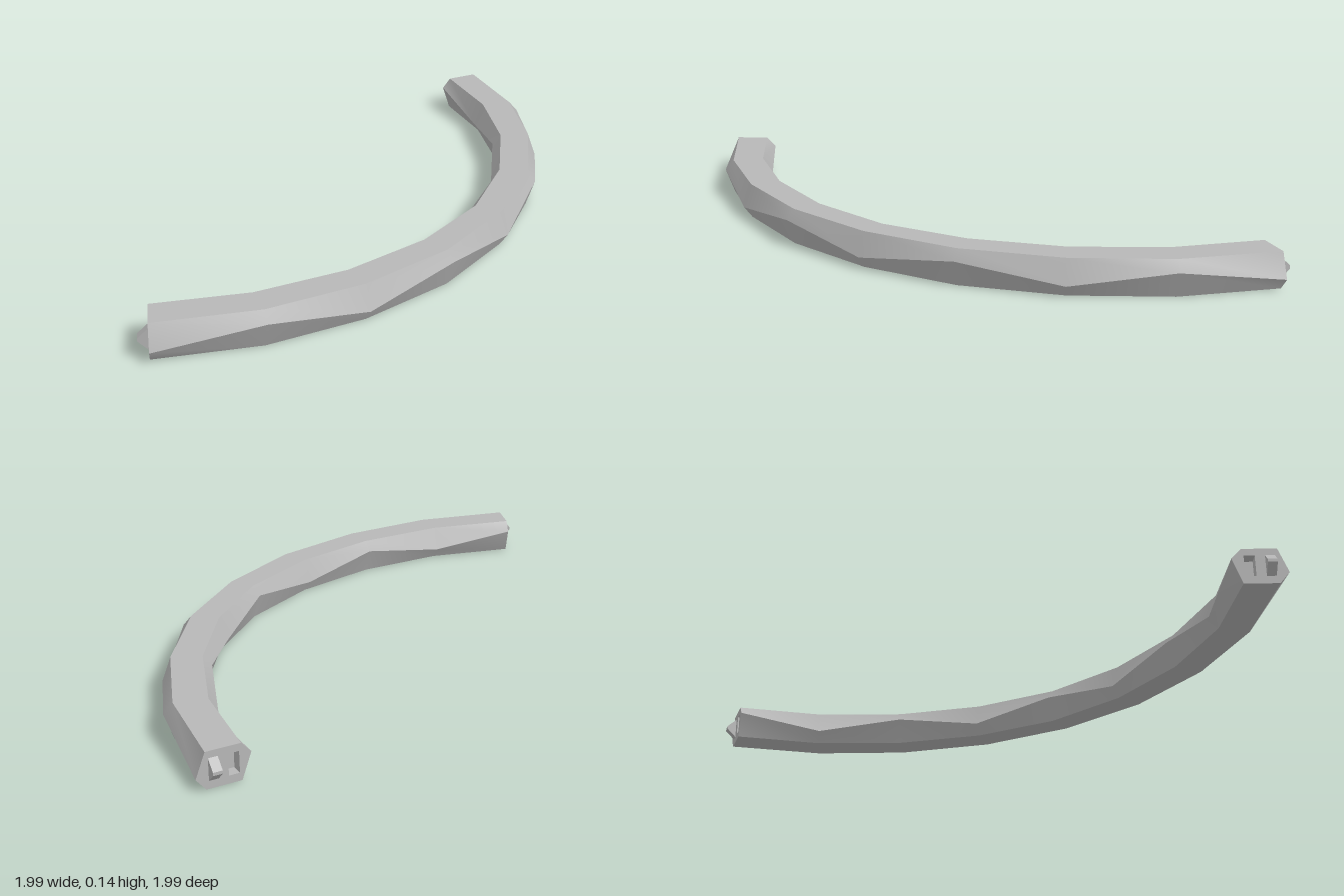
import * as THREE from 'three';

const HEIGHT = 0.14, BEVEL = 0.18, LOW = 0.045, HIGH = 0.1;

// Plan points [outerX, outerZ, innerX, innerZ] for half of the arc; the rest is mirrored
const half = [
  [-0.965, 0.975, -0.93, 0.775],
  [-0.565, 0.997, -0.58, 0.8],
  [-0.18, 0.922, -0.225, 0.74],
  [0.19, 0.757, 0.105, 0.6],
  [0.507, 0.507, 0.388, 0.388],
];
const mirrored = half.slice(0, 4).reverse().map(([a, b, c, d]) => [b, a, d, c]);
const plan = [...half, ...mirrored];

// Six-sided ring, given as [position from inner (0) to outer (1), height]
function ringProfile(i) {
  const outerY = i % 2 ? HIGH : LOW, innerY = i % 2 ? LOW : HIGH;
  return [[BEVEL, 0], [1 - BEVEL, 0], [1, outerY], [1 - BEVEL, HEIGHT], [BEVEL, HEIGHT], [0, innerY]];
}

// One long face of the rail: smooth lengthwise, sharp at its borders
function sideGeometry(k) {
  const positions = [], index = [];
  plan.forEach(([ox, oz, ix, iz], i) => {
    const ring = ringProfile(i);
    for (const [t, y] of [ring[k], ring[(k + 1) % 6]]) {
      positions.push(ix + (ox - ix) * t, y, iz + (oz - iz) * t);
    }
    if (i) {
      const a = 2 * i - 2, b = a + 1, a2 = a + 2, b2 = a + 3;
      index.push(b, a, a2, b, a2, b2);
    }
  });
  const g = new THREE.BufferGeometry();
  g.setAttribute('position', new THREE.Float32BufferAttribute(positions, 3));
  g.setIndex(index);
  g.computeVertexNormals();
  return g;
}

// End plate with a socket and a wedge peg; side = 1 puts the outer rim on local +x
function makeEnd(i, side, material) {
  const [ox, oz, ix, iz] = plan[i];
  const width = Math.hypot(ox - ix, oz - iz);
  const end = new THREE.Group();
  const add = (name, geometry) => {
    const mesh = new THREE.Mesh(geometry, material);
    mesh.name = name;
    end.add(mesh);
    return mesh;
  };

  const outline = ringProfile(i).map(([t, y]) => new THREE.Vector2(side * (t - 0.5) * width, y));
  const shape = new THREE.Shape(outline);
  const hx = -side * 0.037, hw = 0.02, y0 = 0.03, y1 = 0.112, depth = 0.045;
  shape.holes.push(new THREE.Path([
    new THREE.Vector2(hx - hw, y0), new THREE.Vector2(hx - hw, y1),
    new THREE.Vector2(hx + hw, y1), new THREE.Vector2(hx + hw, y0),
  ]));
  add('endPlate', new THREE.ShapeGeometry(shape));

  // Socket walls face inwards
  const socket = new THREE.BoxGeometry(hw * 2, y1 - y0, depth);
  const idx = socket.index.array;
  for (let n = 0; n < idx.length; n += 3) [idx[n], idx[n + 1]] = [idx[n + 1], idx[n]];
  const normals = socket.attributes.normal.array;
  for (let n = 0; n < normals.length; n++) normals[n] *= -1;
  add('socket', socket).position.set(hx, (y0 + y1) / 2, -depth / 2);

  // Peg profile lies in the outward/up plane, extruded across the rail
  const wedge = new THREE.Shape([
    new THREE.Vector2(0, 0.03), new THREE.Vector2(0.038, 0.066),
    new THREE.Vector2(0.038, 0.078), new THREE.Vector2(0, 0.114),
  ]);
  const peg = new THREE.ExtrudeGeometry(wedge, { depth: 0.035, bevelEnabled: false });
  peg.translate(0, 0, -0.0175).rotateY(-Math.PI / 2);
  add('peg', peg).position.x = side * 0.037;

  // Local x runs along the plate, local z points out of the rail
  const dx = side * (ox - ix) / width, dz = side * (oz - iz) / width;
  end.position.set((ox + ix) / 2, 0, (oz + iz) / 2);
  end.rotation.y = Math.atan2(-dz, dx);
  return end;
}

export function createModel() {
  const group = new THREE.Group();
  group.name = 'curvedRail';
  const grey = new THREE.MeshStandardMaterial({ color: 0xb8b8b8 });
  grey.name = 'grey';

  const names = ['bottom', 'outerLower', 'outerUpper', 'top', 'innerUpper', 'innerLower'];
  names.forEach((name, k) => {
    const mesh = new THREE.Mesh(sideGeometry(k), grey);
    mesh.name = name;
    group.add(mesh);
  });

  const leftEnd = makeEnd(0, 1, grey);
  leftEnd.name = 'frontEnd';
  const rightEnd = makeEnd(plan.length - 1, -1, grey);
  rightEnd.name = 'backEnd';
  group.add(leftEnd, rightEnd);
  return group;
}
